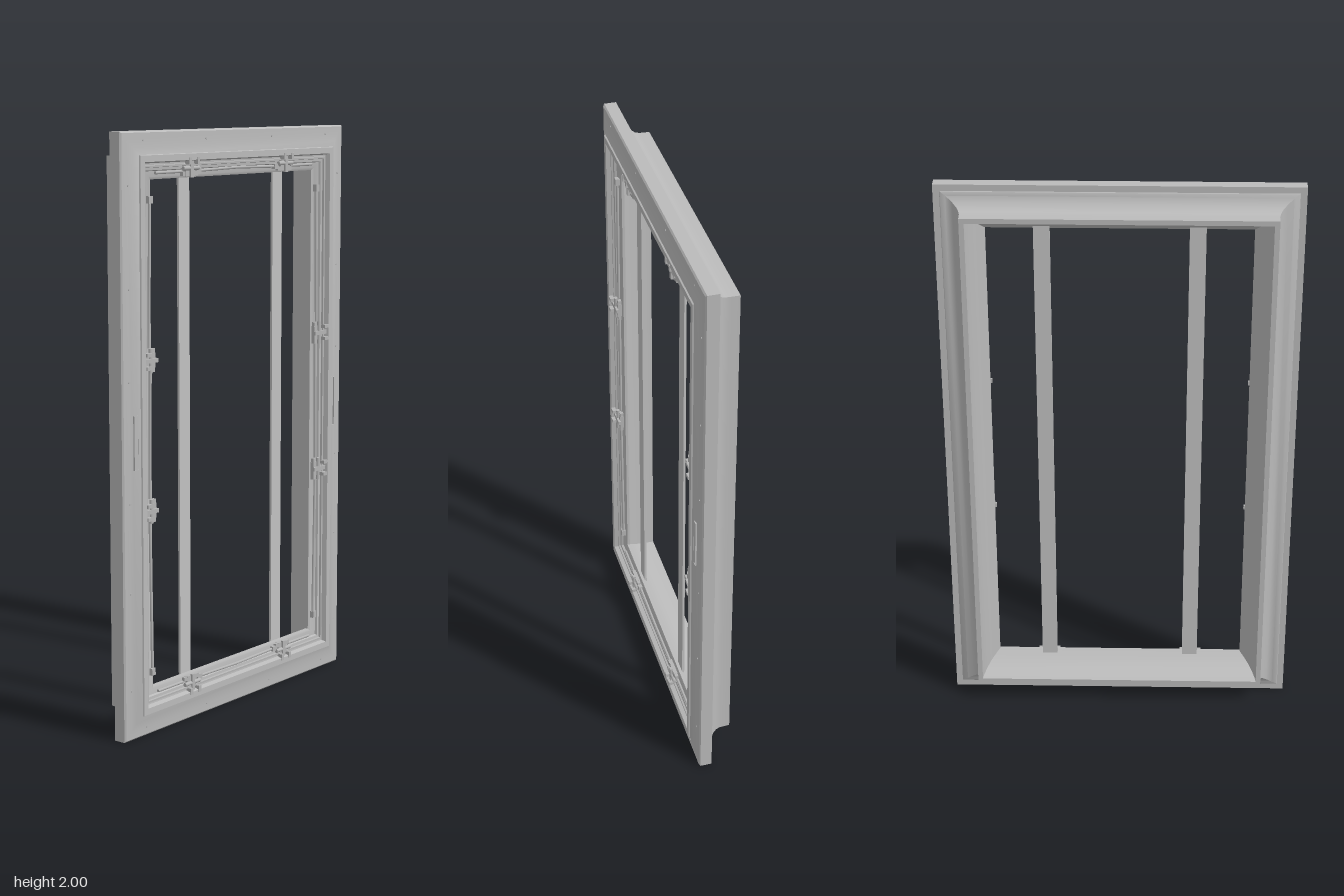
import * as THREE from 'three';
import { toCreasedNormals } from 'three/addons/utils/BufferGeometryUtils.js';

const W = 0.607, H = 1; // half width and half height of the frame

// Mitred rectangular ring swept from a closed profile of [side inset, z, head and sill inset]
function mitredRing(profile, crease = 0.6) {
  const pos = [];
  const signs = [[1, 1], [-1, 1], [-1, -1], [1, -1]];
  const at = ([d, z, e = d], k) => {
    const [sx, sy] = signs[k % 4];
    return [sx * (W - d), H + sy * (H - e), z];
  };
  profile.forEach((p, i) => {
    const q = profile[(i + 1) % profile.length];
    for (let k = 0; k < 4; k++) {
      const a = at(p, k), b = at(p, k + 1), c = at(q, k + 1), d = at(q, k);
      pos.push(...a, ...b, ...c, ...a, ...c, ...d);
    }
  });
  const g = new THREE.BufferGeometry();
  g.setAttribute('position', new THREE.Float32BufferAttribute(pos, 3));
  return toCreasedNormals(g, crease);
}

export function createModel() {
  const paint = (name, color) => {
    const m = new THREE.MeshStandardMaterial({ color });
    m.name = name;
    return m;
  };
  const frameGrey = paint('frame grey', 0xbababa);
  const barGrey = paint('bar grey', 0xc0c0c0);
  const metal = paint('hardware grey', 0xb4b4b4);

  const model = new THREE.Group();
  model.name = 'windowFrame';
  const add = (parent, name, geo, mat, x = 0, y = 0, z = 0) => {
    const m = new THREE.Mesh(geo, mat);
    m.name = name;
    m.position.set(x, y, z);
    parent.add(m);
    return m;
  };
  const box = (parent, name, mat, w, h, d, x, y, z) =>
    add(parent, name, new THREE.BoxGeometry(w, h, d), mat, x, y, z);
  const rod = (parent, name, r, x0, y0, x1, y1, z) => {
    const len = Math.hypot(x1 - x0, y1 - y0);
    const m = add(parent, name, new THREE.CylinderGeometry(r, r, len, 10), metal, (x0 + x1) / 2, (y0 + y1) / 2, z);
    m.rotation.z = Math.atan2(y1 - y0, x1 - x0) - Math.PI / 2;
  };

  // Moulded frame: front slab, raised inner border, stepped rebate, lip, splayed reveal and rear cove
  add(model, 'frame', mitredRing([
    [0, 0.012], [0, 0.053], [0.005, 0.058], [0.03, 0.059], [0.055, 0.063], [0.075, 0.07],
    [0.077, 0.075], [0.098, 0.075], [0.103, 0.058], [0.126, 0.054], [0.129, 0.046], [0.155, 0.043, 0.148],
    [0.164, 0.039, 0.156], [0.164, 0.03, 0.156], [0.152, 0.018, 0.144], [0.132, -0.005, 0.123], [0.118, -0.035, 0.108],
    [0.109, -0.065, 0.099], [0.107, -0.08, 0.097], [0.09, -0.08, 0.08], [0.0895, -0.045, 0.079], [0.086, -0.03, 0.076],
    [0.079, -0.017, 0.068], [0.064, -0.005, 0.054], [0.042, 0.005, 0.036], [0.024, 0.01], [0.022, 0.012],
  ]), frameGrey);

  // Seal bead in the rebate
  add(model, 'sealBead', mitredRing([
    [0.108, 0.055], [0.11, 0.062], [0.116, 0.062], [0.118, 0.053],
  ]), metal);

  // Vertical glazing bars, set back inside the opening
  for (const s of [-1, 1]) box(model, 'glazingBar', barGrey, 0.055, 1.72, 0.008, s * 0.257, 1, 0.024);

  // Latch clip, its local +x pointing outward across the frame
  function clip(x, y, turn) {
    const g = new THREE.Group();
    g.name = 'latchClip';
    g.position.set(x, y, 0.056);
    g.rotation.z = turn;
    box(g, 'clipBase', metal, 0.056, 0.05, 0.014, 0, 0, -0.004);
    box(g, 'clipTongue', metal, 0.076, 0.014, 0.01, 0.005, 0, 0.006);
    for (const s of [-1, 1]) {
      box(g, 'clipArm', metal, 0.022, 0.012, 0.02, 0.022, s * 0.022, 0.011);
      box(g, 'clipEar', metal, 0.014, 0.014, 0.012, -0.02, s * 0.032, -0.004);
    }
    add(g, 'clipPivot', new THREE.CylinderGeometry(0.007, 0.007, 0.08, 12), metal, -0.002, 0, 0.004);
    model.add(g);
  }

  for (const s of [-1, 1]) {
    // Side clips, and top and bottom clips over the bar ends
    for (const y of [0.76, 1.26]) clip(s * 0.472, y, s > 0 ? 0 : Math.PI);
    clip(s * 0.26, 1.877, Math.PI / 2);
    clip(s * 0.26, 0.123, -Math.PI / 2);

    // Drive rods along the stiles, ending in knuckles
    rod(model, 'sideRod', 0.005, s * 0.458, 0.22, s * 0.466, 0.73, 0.05);
    rod(model, 'sideRod', 0.005, s * 0.466, 0.8, s * 0.46, 1.22, 0.05);
    rod(model, 'sideRod', 0.005, s * 0.466, 1.3, s * 0.458, 1.78, 0.05);
    for (const y of [0.21, 1.78]) box(model, 'rodKnuckle', metal, 0.018, 0.024, 0.016, s * 0.46, y, 0.05);

    // Drive rods along the head and sill
    for (const [v, y] of [[1, 1.865], [-1, 0.135]]) {
      rod(model, 'crossRod', 0.005, s * 0.215, y, 0, y + v * 0.004, 0.05);
      rod(model, 'crossRod', 0.005, s * 0.3, y, s * 0.43, y, 0.05);
      box(model, 'rodKnuckle', metal, 0.024, 0.018, 0.016, s * 0.215, y, 0.05);
    }

    // Slim hand grip outline on each stile
    const grip = new THREE.Shape();
    grip.moveTo(-0.01, -0.09).lineTo(0.01, -0.09).lineTo(0.01, 0.09).lineTo(-0.01, 0.09).closePath();
    const hole = new THREE.Path();
    hole.moveTo(-0.008, -0.088).lineTo(-0.008, 0.088).lineTo(0.008, 0.088).lineTo(0.008, -0.088).closePath();
    grip.holes.push(hole);
    add(model, 'handGrip', new THREE.ExtrudeGeometry(grip, { depth: 0.007, bevelEnabled: false }), frameGrey, s * 0.55, 1, 0.06);
  }

  // Small screws around the front face
  const screw = (x, y) => {
    add(model, 'frameScrew', new THREE.CylinderGeometry(0.0035, 0.0035, 0.004, 8), metal, x, y, 0.059).rotation.x = Math.PI / 2;
  };
  for (const s of [-1, 1]) {
    for (const y of [0.17, 0.5, 0.8, 1.2, 1.5, 1.83]) screw(s * 0.575, y);
    for (const x of [0.18, 0.5]) for (const y of [0.03, 1.97]) screw(s * x, y);
  }
  return model;
}
